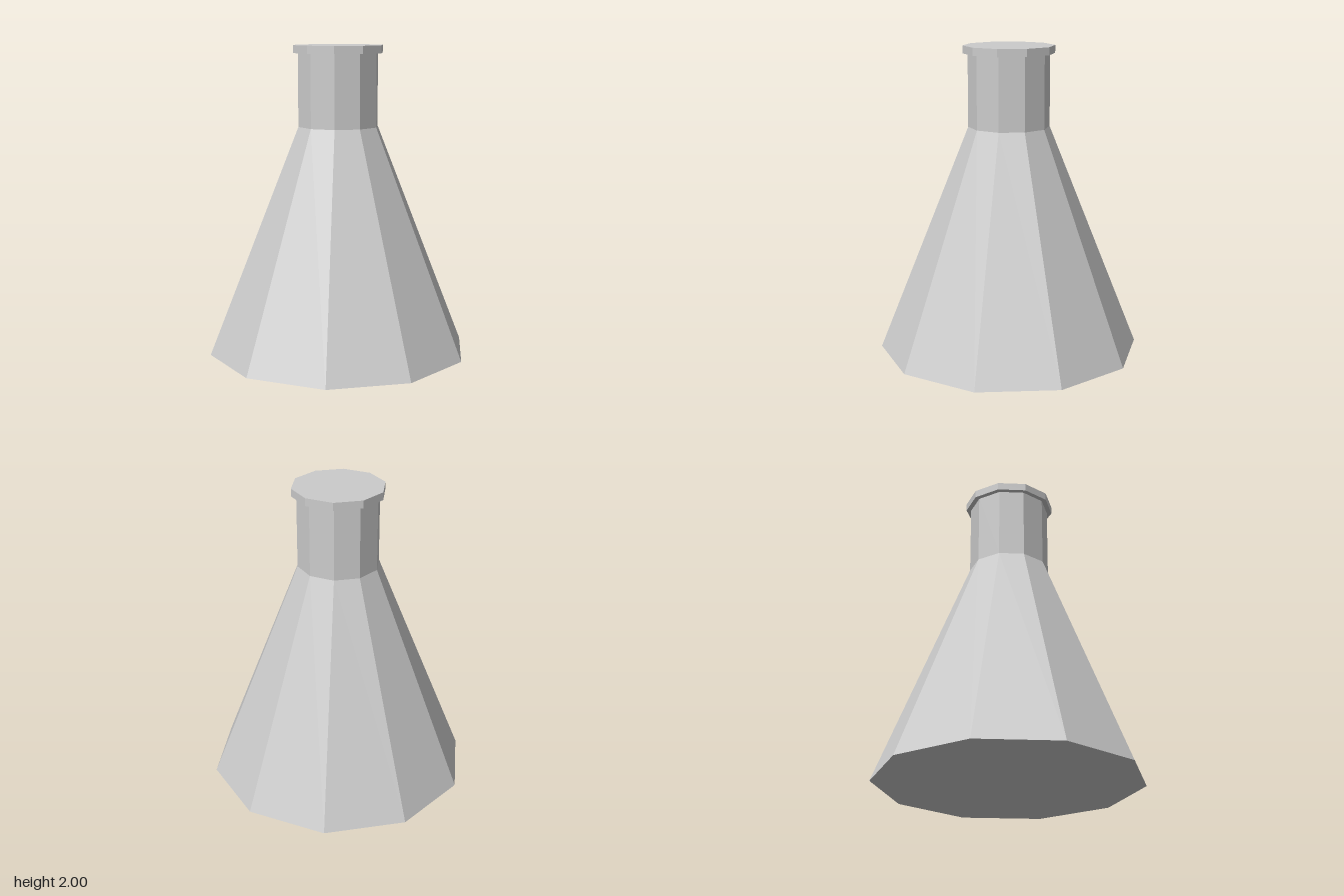
import * as THREE from 'three';

const SIDES = 10;
const glass = new THREE.MeshStandardMaterial({ color: 0xcccccc, flatShading: true });

// Ten-sided ring of faces turned from a [radius, height] profile, with a corner on the x axis
function turned(name, profile) {
  const points = profile.map(([r, y]) => new THREE.Vector2(r, y));
  const mesh = new THREE.Mesh(new THREE.LatheGeometry(points, SIDES, Math.PI / 2), glass);
  mesh.name = name;
  return mesh;
}

// Flat ten-sided disc, facing up or down
function disc(name, radius, y, up) {
  const mesh = new THREE.Mesh(new THREE.CircleGeometry(radius, SIDES), glass);
  mesh.rotation.x = up ? -Math.PI / 2 : Math.PI / 2;
  mesh.position.y = y;
  mesh.name = name;
  return mesh;
}

export function createModel() {
  const flask = new THREE.Group();
  flask.name = 'conicalFlask';

  // Flat underside and sloping body
  flask.add(disc('base', 0.855, 0, false));
  flask.add(turned('body', [[0.855, 0], [0.263, 1.48]]));

  // Straight neck
  flask.add(turned('neck', [[0.263, 1.48], [0.263, 1.95]]));

  // Overhanging lip with a closed top
  flask.add(turned('lip', [[0.263, 1.95], [0.295, 1.95], [0.295, 2]]));
  flask.add(disc('top', 0.295, 2, true));

  return flask;
}
